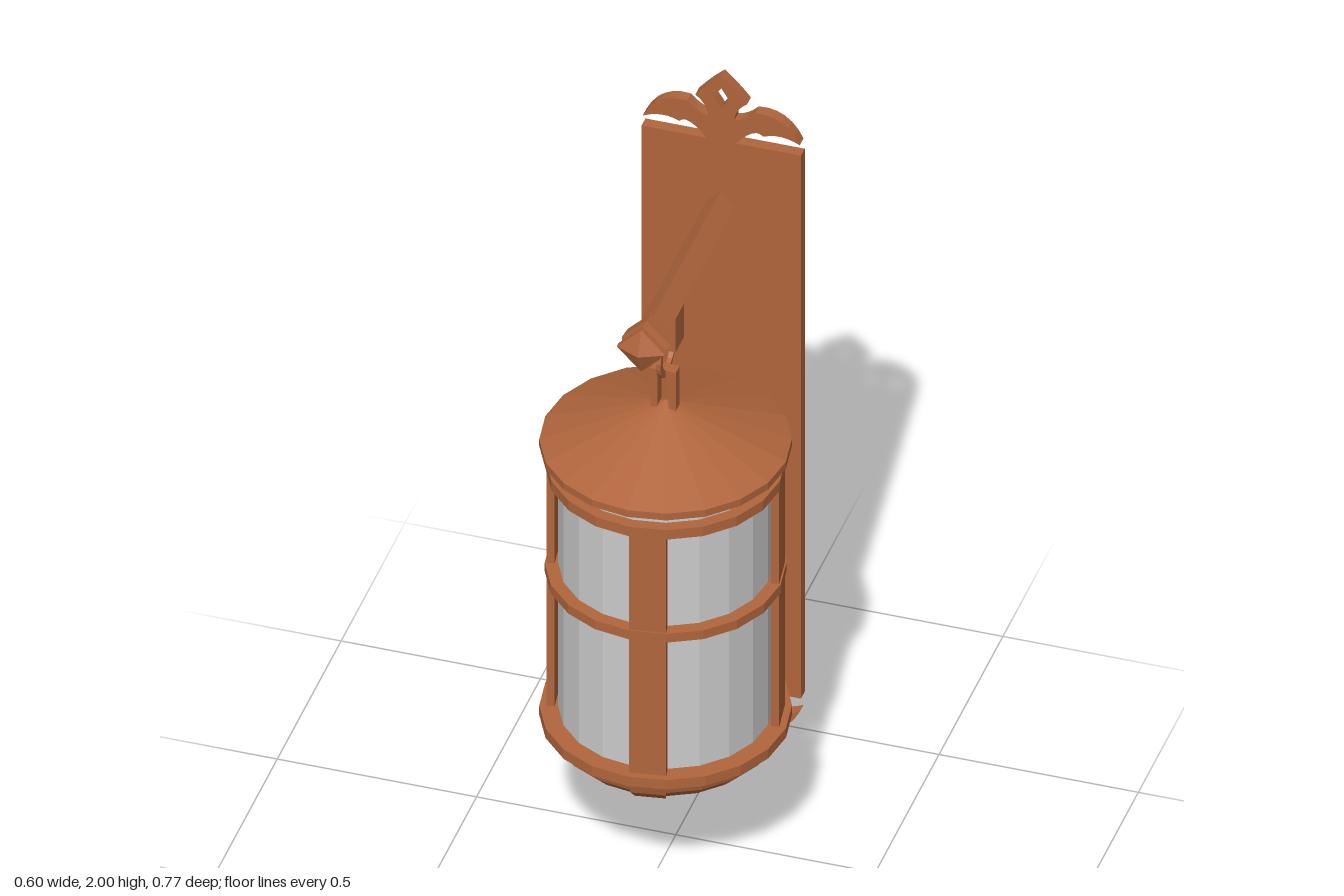
import * as THREE from 'three';

const SIDES = 20;
const AXIS_Z = 0.08; // lantern axis
const BACK_Z = -0.385;
const PLATE_DEPTH = 0.03;
const ARM_Y = 1.625;

const metal = new THREE.MeshStandardMaterial({ color: 0xb0653c, flatShading: true });
const glass = new THREE.MeshStandardMaterial({ color: 0xcccccc, flatShading: true });

function add(parent, name, geometry, x = 0, y = 0, z = 0, material = metal) {
  const mesh = new THREE.Mesh(geometry, material);
  mesh.name = name;
  mesh.position.set(x, y, z);
  parent.add(mesh);
  return mesh;
}

// Profile points run upward on the outside
function lathe(points, sides = SIDES, start = 0, length = Math.PI * 2) {
  const profile = points.map(([r, y]) => new THREE.Vector2(r, y));
  return new THREE.LatheGeometry(profile, sides, start, length);
}

function band(inner, outer, y0, y1) {
  return lathe([[inner, y0], [outer, y0], [outer, y1], [inner, y1], [inner, y0]]);
}

// Pierced bud with two drooping leaves, growing up from y = 0
function crestGeometry() {
  const s = new THREE.Shape();
  s.moveTo(0, 0.19);
  s.quadraticCurveTo(0.03, 0.165, 0.065, 0.122);
  s.quadraticCurveTo(0.035, 0.1, 0.033, 0.068);
  s.quadraticCurveTo(0.06, 0.072, 0.085, 0.1);
  s.quadraticCurveTo(0.16, 0.11, 0.197, 0.03);
  s.quadraticCurveTo(0.15, 0.055, 0.105, 0.035);
  s.quadraticCurveTo(0.085, 0.06, 0.035, -0.002);
  s.lineTo(-0.035, -0.002);
  s.quadraticCurveTo(-0.085, 0.06, -0.105, 0.035);
  s.quadraticCurveTo(-0.15, 0.055, -0.197, 0.03);
  s.quadraticCurveTo(-0.16, 0.11, -0.085, 0.1);
  s.quadraticCurveTo(-0.06, 0.072, -0.033, 0.068);
  s.quadraticCurveTo(-0.035, 0.1, -0.065, 0.122);
  s.quadraticCurveTo(-0.03, 0.165, 0, 0.19);
  const hole = new THREE.Path();
  hole.moveTo(0, 0.155);
  hole.lineTo(-0.019, 0.125);
  hole.lineTo(0, 0.095);
  hole.lineTo(0.019, 0.125);
  hole.closePath();
  s.holes.push(hole);
  return new THREE.ExtrudeGeometry(s, { depth: PLATE_DEPTH, bevelEnabled: false, curveSegments: 6 });
}

// Open hook, thickest in the middle and pointed at its ends
function hookGeometry() {
  const outer = [], inner = [], steps = 16, width = 0.012;
  for (let i = 0; i <= steps; i++) {
    const t = i / steps;
    const a = THREE.MathUtils.degToRad(95 + 250 * t);
    const r = 0.058 - 0.003 - 0.016 * Math.sin(Math.PI * t);
    outer.push(new THREE.Vector2(0.058 * Math.cos(a), 0.058 * Math.sin(a)));
    inner.unshift(new THREE.Vector2(r * Math.cos(a), r * Math.sin(a)));
  }
  const geometry = new THREE.ExtrudeGeometry(new THREE.Shape([...outer, ...inner]), { depth: width, bevelEnabled: false });
  return geometry.translate(0, 0, -width / 2).rotateY(Math.PI / 2);
}

function createWallPlate() {
  const group = new THREE.Group();
  group.name = 'wallPlate';
  add(group, 'plate', new THREE.BoxGeometry(0.4, 1.61, PLATE_DEPTH), 0, 1.005, BACK_Z + PLATE_DEPTH / 2);
  add(group, 'topCrest', crestGeometry(), 0, 1.81, BACK_Z);
  const bottom = add(group, 'bottomCrest', crestGeometry(), 0, 0.197, BACK_Z + PLATE_DEPTH);
  bottom.rotation.x = Math.PI;
  bottom.position.y = 0.19;
  return group;
}

function createBracket() {
  const group = new THREE.Group();
  group.name = 'bracket';
  // Square arm set on edge, ending in a pointed knob
  const arm = add(group, 'arm', lathe([[0.037, -0.36], [0.037, 0.19]], 4), 0, ARM_Y);
  const knob = add(group, 'knob', lathe([
    [0, 0.18], [0.038, 0.18], [0.058, 0.197], [0.061, 0.23], [0.053, 0.254],
    [0.061, 0.257], [0.061, 0.272], [0, 0.3],
  ], 4), 0, ARM_Y);
  arm.rotation.x = knob.rotation.x = Math.PI / 2;
  add(group, 'hangerBlock', new THREE.BoxGeometry(0.065, 0.1, 0.066), 0, 1.56, 0.07);
  add(group, 'hook', hookGeometry(), 0, 1.482, AXIS_Z);
  return group;
}

function createLantern() {
  const group = new THREE.Group();
  group.name = 'lantern';
  group.position.z = AXIS_Z;

  // Loop on the roof
  for (const side of [-1, 1]) {
    add(group, 'loopLeg', new THREE.BoxGeometry(0.018, 0.12, 0.03), side * 0.023, 1.37, 0.005);
  }
  add(group, 'loopBar', new THREE.BoxGeometry(0.064, 0.02, 0.03), 0, 1.437, 0.005);

  add(group, 'roof', lathe([[0, 1.21], [0.302, 1.21], [0.302, 1.23], [0, 1.347]]));
  add(group, 'glass', lathe([[0.257, 0.41], [0.257, 1.212]]), 0, 0, 0, glass);

  // Cage
  add(group, 'topBand', band(0.257, 0.287, 1.142, 1.17));
  add(group, 'middleBand', band(0.257, 0.289, 0.838, 0.864));
  add(group, 'bottomBand', band(0.25, 0.302, 0.412, 0.44));

  // Each upright fills one facet and continues as a rib under the bowl
  const bowl = [[0, 0.3], [0.1, 0.302], [0.18, 0.319], [0.24, 0.347], [0.273, 0.38], [0.283, 0.414]];
  const rib = bowl.slice(1).map(([r, y]) => [r + 0.003, y - 0.005]);
  const facet = (Math.PI * 2) / SIDES;
  for (let i = 0; i < 4; i++) {
    const start = (i * Math.PI) / 2;
    const mid = start + facet / 2;
    const upright = add(group, 'upright', new THREE.BoxGeometry(0.0892, 0.75, 0.02),
      0.2715 * Math.sin(mid), 0.785, 0.2715 * Math.cos(mid));
    upright.rotation.y = mid;
    add(group, 'bowlRib', lathe(rib, 1, start, facet));
  }
  add(group, 'bowl', lathe(bowl));
  add(group, 'bowlDisc', lathe([[0, 0.295], [0.11, 0.297], [0.11, 0.31]]));
  return group;
}

export function createModel() {
  const model = new THREE.Group();
  model.name = 'wallLantern';
  model.add(createWallPlate(), createBracket(), createLantern());
  return model;
}
